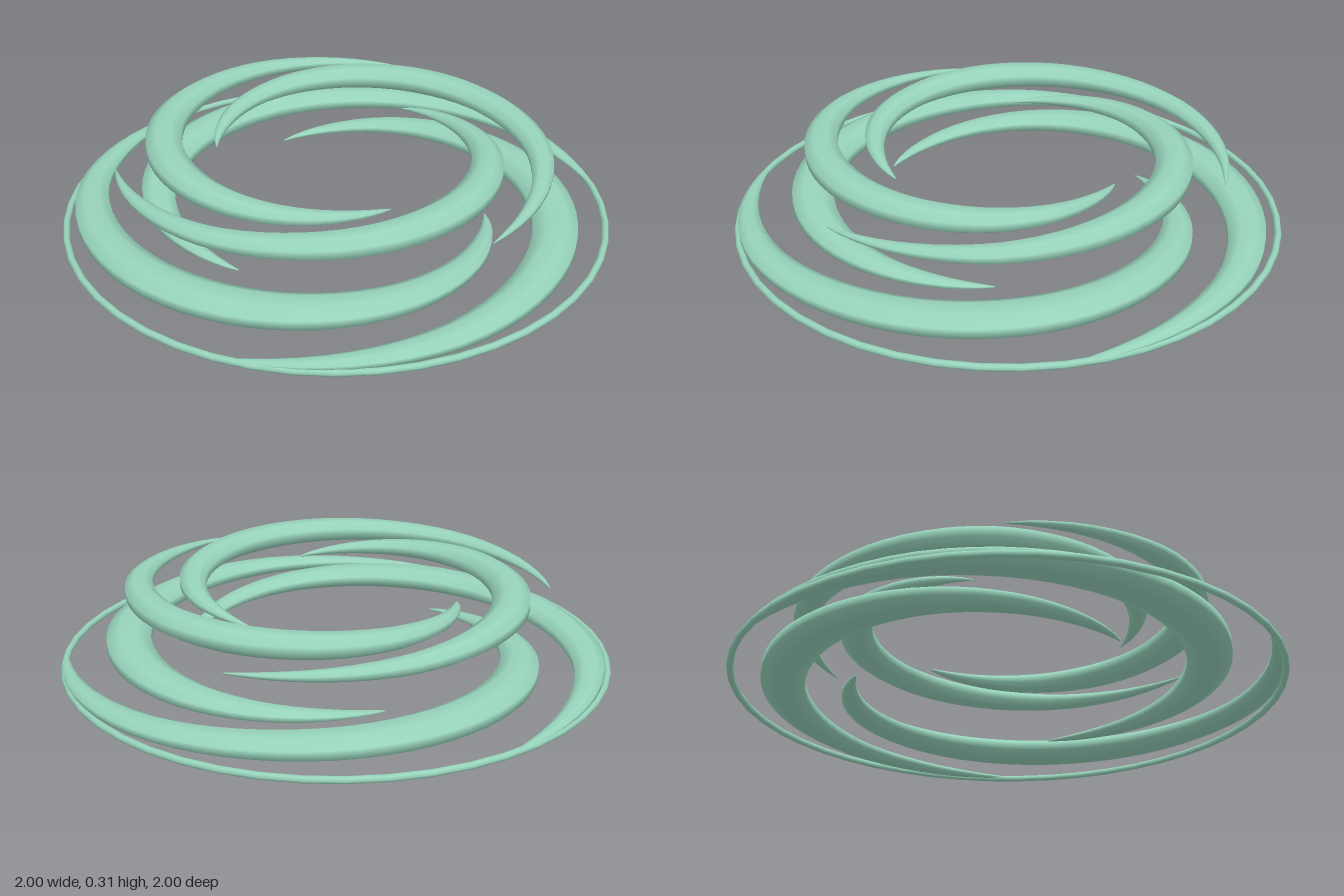
import * as THREE from 'three';

const SIDES = 8, STEPS = 44, SWEEP = 225;

// Centre radius along the spiral, as [degrees from the outer tip, radius]
const spiral = [[0, 0.99], [45, 0.92], [73, 0.857], [103, 0.795], [126, 0.75], [163, 0.677], [203, 0.59], [225, 0.55]];

function radiusAt(deg) {
  let k = 0;
  while (k < spiral.length - 2 && deg > spiral[k + 1][0]) k++;
  const [a, ra] = spiral[k], [b, rb] = spiral[k + 1];
  return THREE.MathUtils.lerp(ra, rb, (deg - a) / (b - a));
}

// Crescent arm: a flattened octagon swept along the spiral, tapering to both tips
function armGeometry() {
  const pos = [], idx = [];
  for (let i = 0; i <= STEPS; i++) {
    const t = i / STEPS;
    const s = Math.pow(Math.max(0, Math.sin(Math.PI * t)), 0.8);
    const a = -THREE.MathUtils.degToRad(t * SWEEP);
    const r = radiusAt(t * SWEEP);
    const halfW = 0.002 + 0.08 * s, halfH = 0.002 + 0.04 * s, y = 0.013 + 0.038 * s;
    for (let j = 0; j < SIDES; j++) {
      const p = (j + 0.5) / SIDES * Math.PI * 2;
      const k = 1 / Math.cos(Math.PI / SIDES);
      const rr = r + halfW * k * Math.cos(p);
      pos.push(rr * Math.cos(a), y + halfH * k * Math.sin(p), rr * Math.sin(a));
    }
  }
  for (let i = 0; i < STEPS; i++) {
    for (let j = 0; j < SIDES; j++) {
      const a = i * SIDES + j, b = i * SIDES + (j + 1) % SIDES;
      idx.push(a, a + SIDES, b, b, a + SIDES, b + SIDES);
    }
  }
  // Tip caps
  const last = STEPS * SIDES;
  for (let j = 1; j < SIDES - 1; j++) {
    idx.push(0, j, j + 1, last, last + j + 1, last + j);
  }
  const g = new THREE.BufferGeometry();
  g.setAttribute('position', new THREE.Float32BufferAttribute(pos, 3));
  g.setIndex(idx);
  g.computeVertexNormals();
  return g;
}

export function createModel() {
  const model = new THREE.Group();
  model.name = 'swirl';
  const mint = new THREE.MeshStandardMaterial({ color: 0x98d4bc });
  mint.name = 'mint';

  // Thin outer ring
  const ring = new THREE.Mesh(new THREE.TorusGeometry(0.987, 0.0125, 8, 48), mint);
  ring.name = 'outerRing';
  ring.rotation.x = Math.PI / 2;
  ring.position.y = 0.0125;
  model.add(ring);

  // Two tiers of three arms; the upper tier is smaller and turned between the lower arms
  const geo = armGeometry();
  const tiers = [
    { name: 'lower', start: 104.6, scale: 1, y: 0 },
    { name: 'upper', start: 43, scale: 0.8, y: 0.22 },
  ];
  for (const tier of tiers) {
    const group = new THREE.Group();
    group.name = tier.name + 'Tier';
    group.position.y = tier.y;
    group.scale.set(tier.scale, 1, tier.scale);
    for (let k = 0; k < 3; k++) {
      const arm = new THREE.Mesh(geo, mint);
      arm.name = tier.name + 'Arm' + (k + 1);
      arm.rotation.y = -THREE.MathUtils.degToRad(tier.start + 120 * k);
      group.add(arm);
    }
    model.add(group);
  }
  return model;
}
